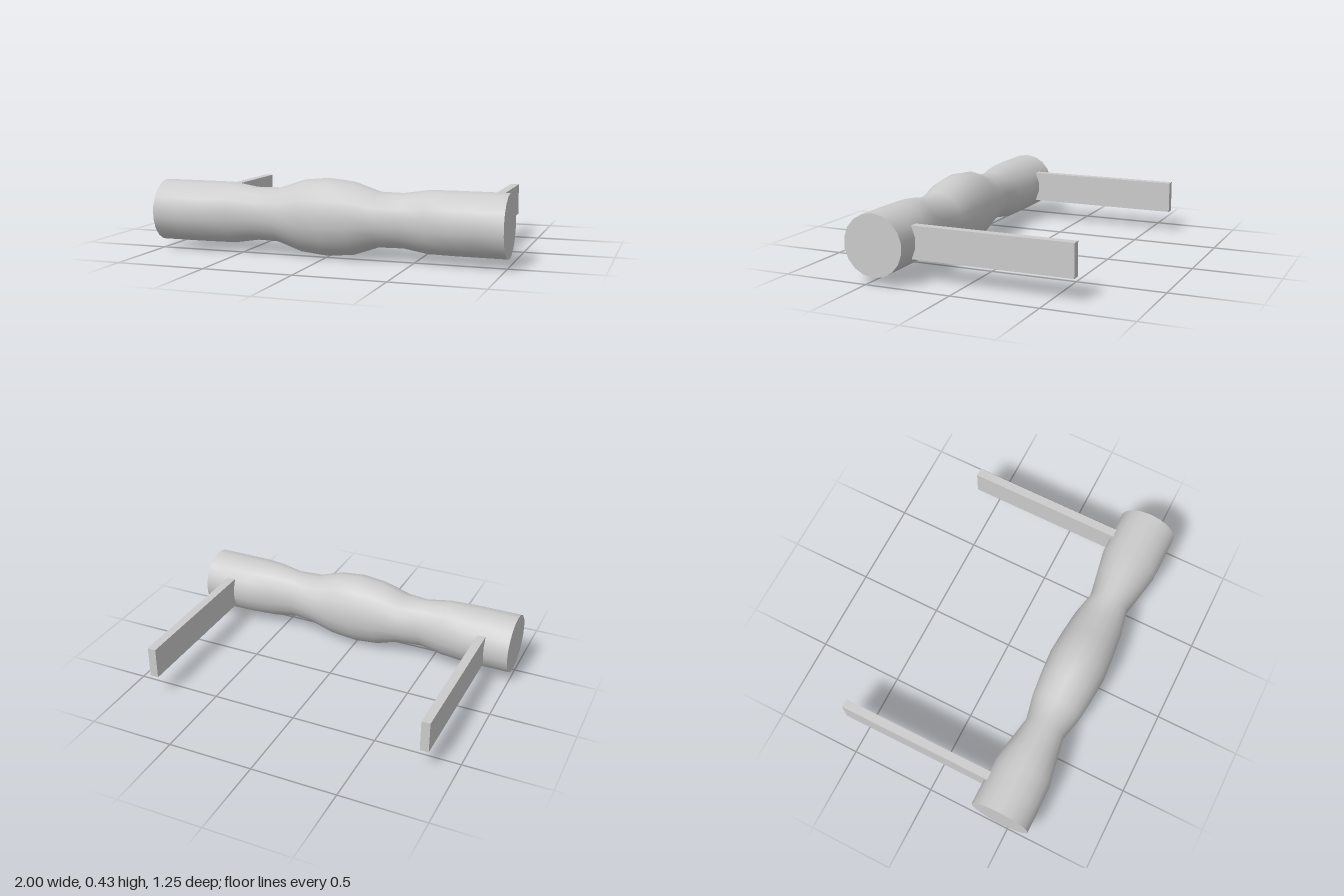
import * as THREE from 'three';
import { mergeVertices } from 'three/addons/utils/BufferGeometryUtils.js';

const SIDES = 18;
const END_RADIUS = 0.175;
const CENTER = { y: 0.217, z: 0.45 };
// Half-height and half-depth of the grip at equal steps from the middle to an end
const HALF_HEIGHT = [0.217, 0.203, 0.153, 0.151, 0.174, 0.175, 0.175, 0.175];
const HALF_DEPTH = [0.177, 0.167, 0.152, 0.12, 0.146, 0.173, 0.175, 0.175];

export function createModel() {
  const model = new THREE.Group();
  const material = new THREE.MeshStandardMaterial({ color: 0xcccccc });

  function add(name, geometry, x, y, z, parent = model) {
    const mesh = new THREE.Mesh(geometry, material);
    mesh.name = name;
    mesh.position.set(x, y, z);
    parent.add(mesh);
    return mesh;
  }

  // Contoured grip: a unit tube along x, scaled ring by ring
  const steps = HALF_HEIGHT.length - 1;
  let tube = new THREE.CylinderGeometry(1, 1, 2, SIDES, steps * 2, true, Math.PI / 2);
  tube.rotateZ(-Math.PI / 2);
  const pos = tube.attributes.position;
  for (let i = 0; i < pos.count; i++) {
    const ring = Math.round(Math.abs(pos.getX(i)) * steps);
    pos.setY(i, pos.getY(i) * HALF_HEIGHT[ring]);
    pos.setZ(i, pos.getZ(i) * HALF_DEPTH[ring]);
  }
  // Weld the seam so the surface shades smoothly all round
  tube.deleteAttribute('uv');
  tube.deleteAttribute('normal');
  tube = mergeVertices(tube);
  tube.computeVertexNormals();

  const grip = new THREE.Group();
  grip.name = 'grip';
  grip.position.set(0, CENTER.y, CENTER.z);
  model.add(grip);
  add('gripBody', tube, 0, 0, 0, grip);

  for (const side of [1, -1]) {
    const label = side > 0 ? 'left' : 'right';
    // Flat end cap
    const cap = new THREE.CircleGeometry(END_RADIUS, SIDES, Math.PI / 2);
    cap.rotateY(side * Math.PI / 2);
    add(label + 'EndCap', cap, side, 0, 0, grip);
    // Flat bar reaching back from the grip
    add(label + 'Arm', new THREE.BoxGeometry(0.05, 0.185, 0.925), side * 0.83, CENTER.y, -0.1625);
  }
  return model;
}
